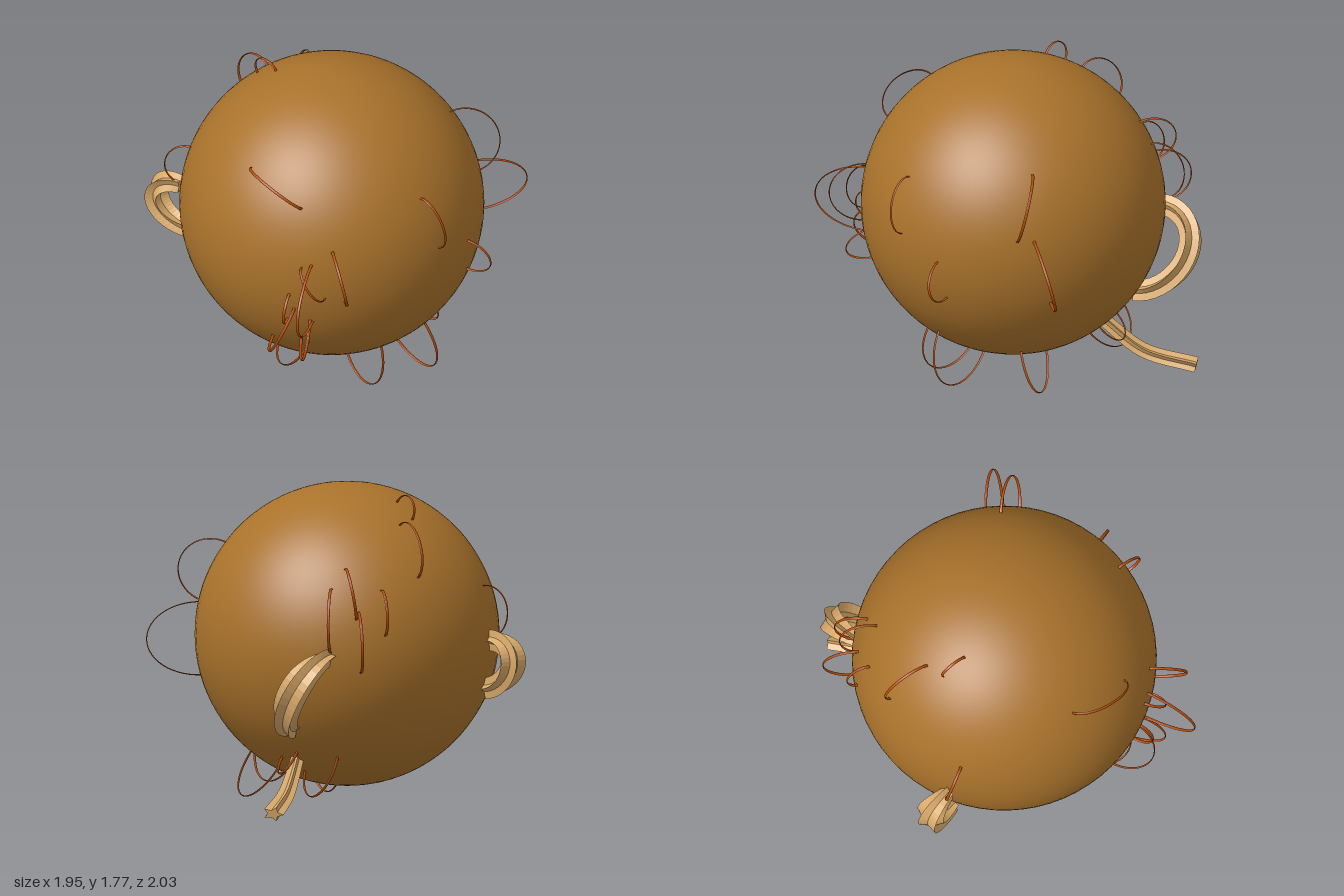
import * as THREE from 'three';

const RADIUS = 0.833;
const CENTRE = new THREE.Vector3(0.015, 0.932, 0);

const material = (name, color, extra = {}) => {
  const m = new THREE.MeshStandardMaterial({ color, ...extra });
  m.name = name;
  return m;
};

const vec = (p) => new THREE.Vector3(...p);

// Star or polygon outline as [across, thick] pairs, half width w and half thickness t
function section(points, w, t, inner = 1) {
  return Array.from({ length: points }, (_, i) => {
    const a = (i / points) * Math.PI * 2, r = i % 2 ? inner : 1;
    return [Math.cos(a) * r * w, Math.sin(a) * r * t];
  });
}

// Sweep an outline along a planar path; N is the normal of the path's plane,
// and taper scales the width along the way
function sweep(path, N, outline, taper) {
  const n = outline.length, pos = [], index = [];
  path.forEach((p, i) => {
    const T = path[Math.min(i + 1, path.length - 1)].clone().sub(path[Math.max(i - 1, 0)]).normalize();
    const B = T.cross(N).normalize();
    const wide = taper(i / (path.length - 1));
    for (const [u, v] of outline) {
      pos.push(...p.clone().addScaledVector(N, u * wide).addScaledVector(B, v).toArray());
    }
  });
  for (let i = 0; i < path.length - 1; i++) {
    for (let j = 0; j < n; j++) {
      const a = i * n + j, b = i * n + (j + 1) % n;
      index.push(a, b, a + n, b, b + n, a + n);
    }
  }
  // End caps
  const last = (path.length - 1) * n, c = path.length * n;
  pos.push(...path[0].toArray(), ...path[path.length - 1].toArray());
  for (let j = 0; j < n; j++) {
    const k = (j + 1) % n;
    index.push(c, k, j, c + 1, last + j, last + k);
  }
  const g = new THREE.BufferGeometry();
  g.setAttribute('position', new THREE.Float32BufferAttribute(pos, 3));
  g.setIndex(index);
  const flat = g.toNonIndexed();
  flat.computeVertexNormals();
  return flat;
}

const planeNormal = (a, m, b) => a.clone().sub(m).cross(b.clone().sub(m)).normalize();

// Half ellipse from a to b through the apex m
function arch(a, m, b, outline, steps, taper) {
  const c = a.clone().add(b).multiplyScalar(0.5);
  const path = Array.from({ length: steps + 1 }, (_, i) => {
    const t = (i / steps) * Math.PI;
    return c.clone()
      .addScaledVector(a.clone().sub(c), Math.cos(t))
      .addScaledVector(m.clone().sub(c), Math.sin(t));
  });
  return sweep(path, planeNormal(a, m, b), outline, taper);
}

// Point on the ball from two coordinates; the third lies on the given side of the axis
function onBall(axis, side, p, q) {
  const [u, v] = ['x', 'y', 'z'].filter((k) => k !== axis);
  const d = new THREE.Vector3();
  d[u] = p - CENTRE[u];
  d[v] = q - CENTRE[v];
  d[axis] = side * Math.sqrt(RADIUS ** 2 - d.lengthSq());
  return d.add(CENTRE);
}

// Strand between two points on the ball, lifted outward and leaning sideways
function strand(axis, side, [p1, q1, p2, q2, lift, lean = 0], outline) {
  const a = onBall(axis, side, p1, q1), b = onBall(axis, side, p2, q2);
  const c = a.clone().add(b).multiplyScalar(0.5);
  const out = c.clone().sub(CENTRE).normalize();
  const across = out.clone().cross(b.clone().sub(a)).normalize();
  const apex = c.addScaledVector(out, lift).addScaledVector(across, lean);
  return arch(a, apex, b, outline, 28, () => 1);
}

// Strands by region: both ends in the region's two free coordinates, lift, optional lean
const REGIONS = [
  { name: 'front', axis: 'z', side: 1, strands: [
    [-0.10, 1.47, 0.26, 1.36, 0.125], [0.46, 1.15, 0.53, 0.84, 0.19, 0.02],
    [0.37, 1.07, 0.36, 0.68, 0.30, -0.04], [0.32, 1.05, 0.44, 0.86, 0.10, -0.01],
    [0.26, 0.87, 0.23, 0.68, 0.10], [0.28, 0.77, 0.09, 0.48, 0.18],
    [0.35, 0.69, 0.26, 0.51, 0.19, 0.02], [0.29, 0.49, 0.05, 0.34, 0.13],
  ] },
  { name: 'back', axis: 'z', side: -1, strands: [
    [0.48, 1.44, 0.66, 1.11, 0.19], [0.60, 1.11, 0.525, 0.72, 0.29],
    [-0.43, 1.29, -0.48, 0.95, 0.14], [-0.45, 1.39, -0.57, 1.13, 0.15],
    [-0.57, 1.17, -0.60, 0.84, 0.18], [-0.62, 1.28, -0.68, 1.04, 0.09],
  ] },
  { name: 'left', axis: 'x', side: 1, strands: [
    [0.94, -0.09, 0.72, -0.13, 0.145], [1.33, 0.19, 1.03, 0.165, 0.105],
  ] },
  { name: 'right', axis: 'x', side: -1, strands: [[1.23, 0.34, 0.95, 0.32, 0.12]] },
  { name: 'top', axis: 'y', side: 1, strands: [
    [-0.47, 0, -0.33, 0.03, 0.085], [-0.69, -0.19, -0.48, -0.11, 0.125],
  ] },
  { name: 'under', axis: 'y', side: -1, strands: [
    [0.65, 0.04, 0.37, -0.06, 0.25], [0.49, 0.23, 0.19, 0.13, 0.215],
    [0.41, -0.34, 0.20, -0.36, 0.23], [-0.08, -0.44, -0.34, -0.46, 0.20],
    [-0.02, -0.56, -0.15, -0.58, 0.13],
  ] },
];

export function createModel() {
  const model = new THREE.Group();
  const brown = material('warm brown', 0xa9722b);
  const rust = material('rust', 0xb04a08);
  const tan = material('light tan', 0xd8a96a, { side: THREE.DoubleSide });

  const add = (name, geometry, mat, parent = model) => {
    const mesh = new THREE.Mesh(geometry, mat);
    mesh.name = name;
    parent.add(mesh);
    return mesh;
  };

  // Body
  add('ball', new THREE.SphereGeometry(RADIUS, 64, 48), brown).position.copy(CENTRE);

  // Fine flat strands looping out of the ball
  const thin = section(6, 0.008, 0.003);
  for (const { name, axis, side, strands } of REGIONS) {
    const group = new THREE.Group();
    group.name = `${name}Strands`;
    model.add(group);
    strands.forEach((s, i) => add(`${name}Strand${i + 1}`, strand(axis, side, s, thin), rust, group));
  }

  // Fluted shavings curling out of the side and back, narrow at both roots
  const fluted = section(10, 0.09, 0.062, 0.5);
  const leaf = (t) => 0.45 + 0.55 * Math.sin(t * Math.PI);
  const curl = (name, ...points) => add(name, arch(...points.map(vec), fluted, 20, leaf), tan);
  curl('sideCurl', [-0.76, 0.94, 0.32], [-0.915, 0.82, 0.32], [-0.72, 0.67, 0.32]);
  curl('backCurl', [-0.46, 0.92, -0.66], [-0.39, 0.72, -0.89], [-0.20, 0.50, -0.66]);

  // Fluted shaving trailing away underneath, widening to its tip
  const tail = [[-0.10, 0.32, -0.52], [-0.20, 0.15, -0.72], [-0.34, 0.08, -0.98]].map(vec);
  const path = new THREE.CatmullRomCurve3(tail).getPoints(16);
  const flare = (t) => 0.6 + 0.4 * t;
  add('tailShaving', sweep(path, planeNormal(...tail), section(10, 0.06, 0.042, 0.5), flare), tan);

  return model;
}
